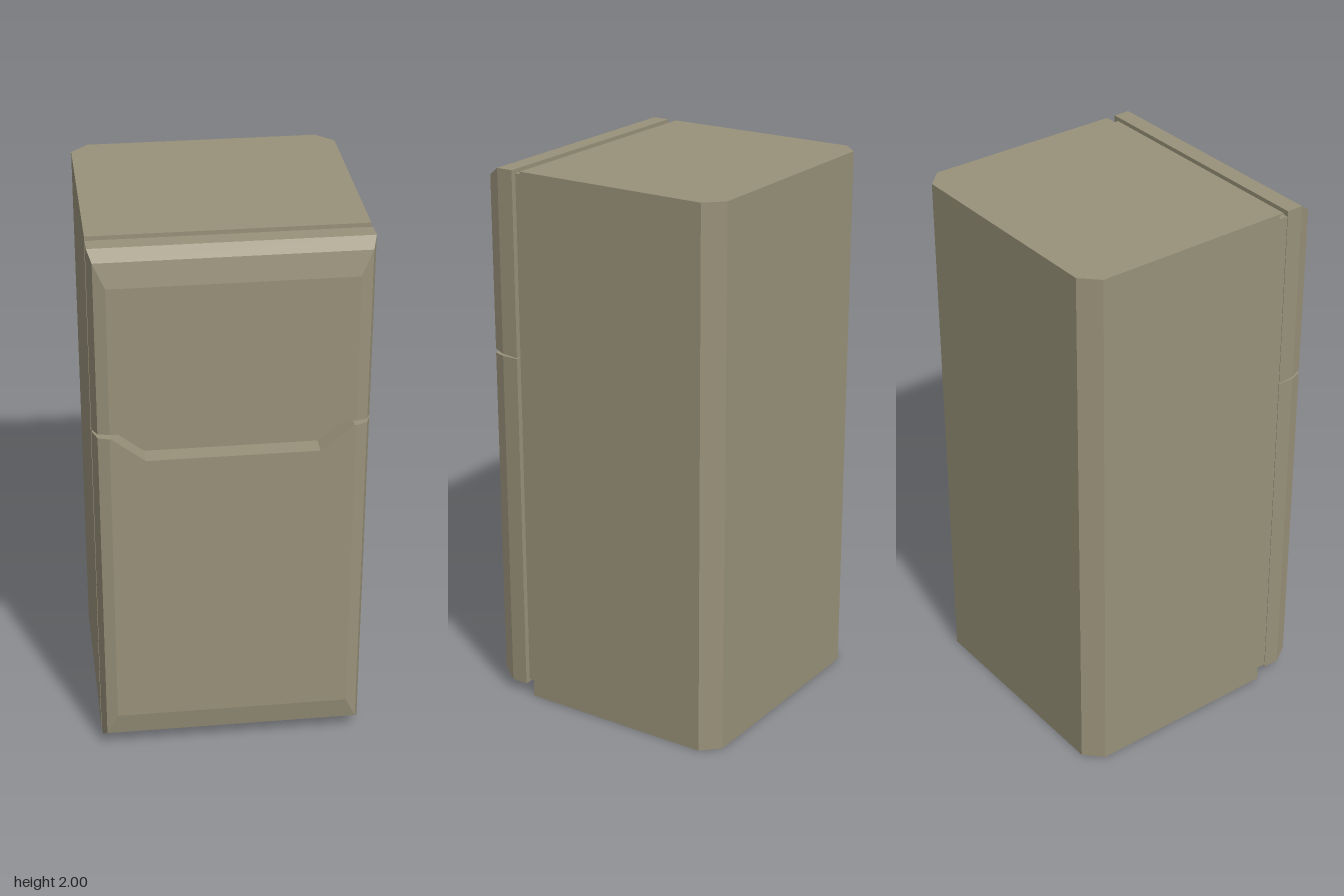
import * as THREE from 'three';

// Skin a list of cross-sections {z, pts} (counterclockwise seen from +z), capped at both ends.
function loft(sections) {
  const pos = [];
  const put = (s, i) => pos.push(s.pts[i].x, s.pts[i].y, s.z);
  for (let k = 0; k < sections.length - 1; k++) {
    const a = sections[k], b = sections[k + 1], n = a.pts.length;
    for (let i = 0; i < n; i++) {
      const j = (i + 1) % n;
      put(a, i); put(a, j); put(b, j);
      put(a, i); put(b, j); put(b, i);
    }
  }
  const back = sections[0], front = sections[sections.length - 1];
  for (const [a, b, c] of THREE.ShapeUtils.triangulateShape(front.pts, [])) {
    put(front, a); put(front, b); put(front, c);
  }
  for (const [a, b, c] of THREE.ShapeUtils.triangulateShape(back.pts, [])) {
    put(back, a); put(back, c); put(back, b);
  }
  const geo = new THREE.BufferGeometry();
  geo.setAttribute('position', new THREE.Float32BufferAttribute(pos, 3));
  geo.computeVertexNormals();
  return geo;
}

const polygon = (list) => list.map(([x, y]) => new THREE.Vector2(x, y));

export function createModel() {
  const model = new THREE.Group();
  model.name = 'refrigerator';
  const enamel = new THREE.MeshStandardMaterial({ color: 0x989179 });
  enamel.name = 'olive enamel';

  const add = (name, geo) => {
    const mesh = new THREE.Mesh(geo, enamel);
    mesh.name = name;
    model.add(mesh);
    return mesh;
  };
  const box = (name, x0, x1, y0, y1, z0, z1) =>
    add(name, new THREE.BoxGeometry(x1 - x0, y1 - y0, z1 - z0))
      .position.set((x0 + x1) / 2, (y0 + y1) / 2, (z0 + z1) / 2);

  // Cabinet with chamfered rear corners; shape y becomes -z
  const footprint = new THREE.Shape(polygon([
    [-0.475, -0.32], [0.475, -0.32], [0.475, 0.413],
    [0.413, 0.475], [-0.413, 0.475], [-0.475, 0.413],
  ]));
  const cabinet = new THREE.ExtrudeGeometry(footprint, { depth: 2, bevelEnabled: false });
  cabinet.rotateX(-Math.PI / 2);
  add('cabinet', cabinet);

  // Seal between cabinet and doors, with the hinge strip on one side
  box('doorSeal', -0.455, 0.455, 0.05, 1.985, 0.318, 0.357);
  box('hingeStrip', -0.473, -0.455, 0.05, 1.98, 0.318, 0.357);

  // Freezer door: bevelled top and sides, underside rising towards the front
  const freezer = [
    [0.355, 0.475, 1.325, 2], [0.417, 0.475, 1.33, 2],
    [0.46, 0.46, 1.337, 1.967], [0.475, 0.42, 1.34, 1.88],
  ].map(([z, hx, bottom, top]) => ({
    z, pts: polygon([[-hx, bottom], [hx, bottom], [hx, top], [-hx, top]]),
  }));
  add('freezerDoor', loft(freezer));

  // Main door: bevelled bottom and sides, finger recess cut into the top edge
  const top = 1.322;
  const main = [
    [0.355, 0.475, 0.04, top], [0.405, 0.475, 0.04, top],
    [0.405, 0.475, 0.04, 1.23], [0.417, 0.475, 0.04, 1.23],
    [0.46, 0.46, 0.073, 1.23], [0.475, 0.42, 0.16, 1.23],
  ].map(([z, hx, bottom, recess]) => ({
    z, pts: polygon([
      [-hx, bottom], [hx, bottom], [hx, top], [0.415, top],
      [0.3, recess], [-0.3, recess], [-0.415, top], [-hx, top],
    ]),
  }));
  add('mainDoor', loft(main));

  return model;
}
